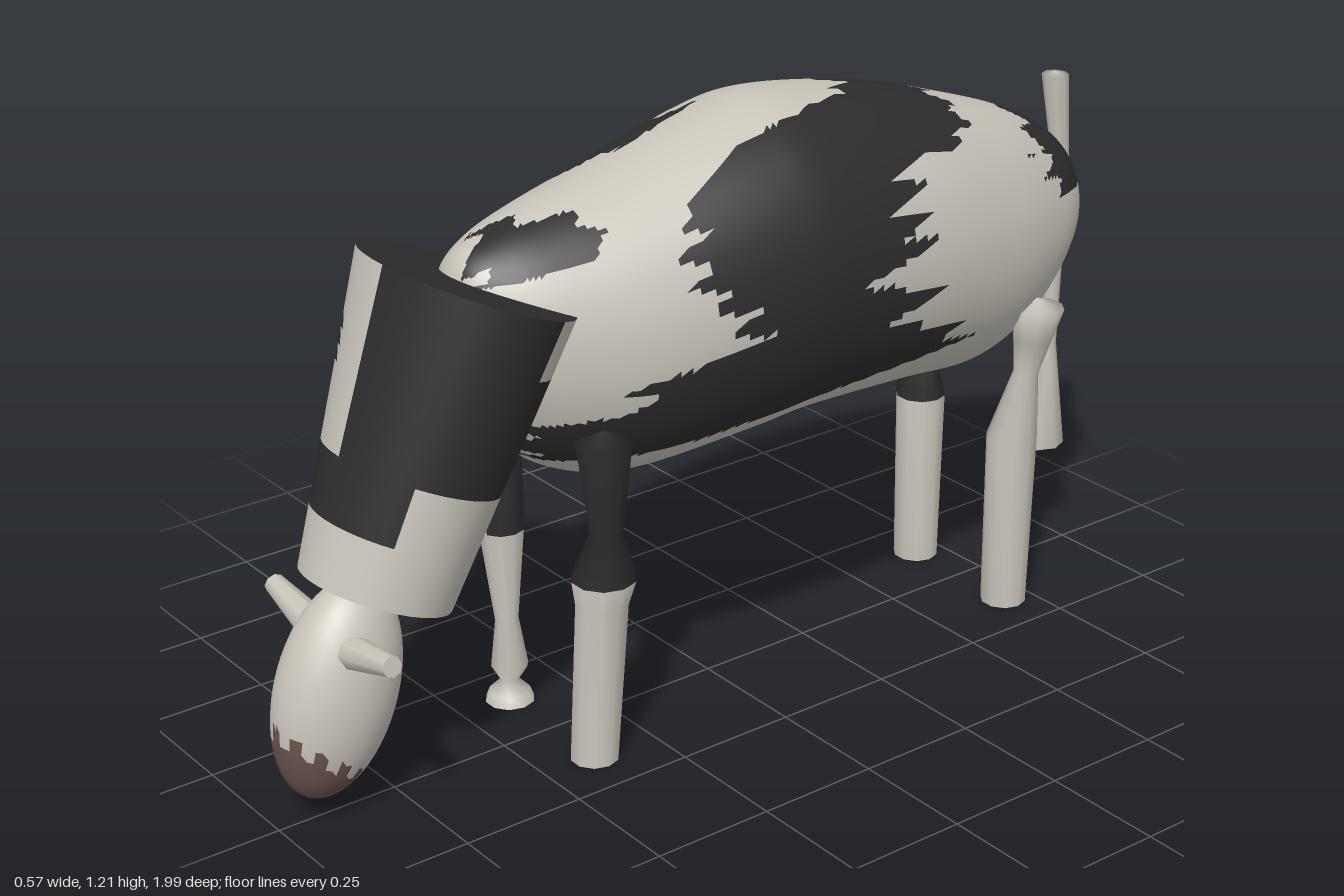
import * as THREE from 'three';

const light = new THREE.MeshStandardMaterial({ color: 0xc8c4ba, name: 'pale hide' });
const dark = new THREE.MeshStandardMaterial({ color: 0x2c2c2c, name: 'dark hide' });
const brown = new THREE.MeshStandardMaterial({ color: 0x6a534e, name: 'muzzle brown' });
const mats = [light, dark, brown];

// Closed tube of rows x cols; paint(centroid, u, angle) picks the material index of each face
function skin(name, rows, cols, point, paint = () => 0) {
  const pts = [], faces = [[], [], []];
  for (let i = 0; i <= rows; i++)
    for (let j = 0; j < cols; j++) pts.push(point(i / rows, (j / cols) * Math.PI * 2));
  const id = (i, j) => i * cols + (j % cols);
  const mid = new THREE.Vector3();
  for (let i = 0; i < rows; i++)
    for (let j = 0; j < cols; j++) {
      const a = id(i, j), b = id(i, j + 1), c = id(i + 1, j), d = id(i + 1, j + 1);
      for (const t of [[a, c, d], [a, d, b]]) {
        mid.set(0, 0, 0);
        t.forEach(k => mid.addScaledVector(pts[k], 1 / 3));
        faces[paint(mid, (i + 0.5) / rows, ((j + 0.5) / cols) * Math.PI * 2)].push(...t);
      }
    }
  const g = new THREE.BufferGeometry().setFromPoints(pts);
  g.setIndex(faces.flat());
  let start = 0;
  faces.forEach((f, k) => { if (f.length) g.addGroup(start, f.length, k); start += f.length; });
  g.computeVertexNormals();
  const m = new THREE.Mesh(g, mats);
  m.name = name;
  return m;
}

// Downward limb through rings [y, x, z, radiusX, radiusZ]
function limb(name, rings, cols, paint, per = 1) {
  const n = rings.length - 1;
  return skin(name, n * per, cols, (u, a) => {
    const k = Math.min(Math.floor(u * n + 1e-6), n - 1), f = u * n - k;
    const [y, x, z, rx, rz] = [0, 1, 2, 3, 4].map(q => {
      const at = r => r[q] ?? r[3];
      return at(rings[k]) * (1 - f) + at(rings[k + 1]) * f;
    });
    return new THREE.Vector3(x + rx * Math.cos(a), y, z - rz * Math.sin(a));
  }, paint);
}

function inside(poly, px, py) {
  let hit = false;
  for (let i = 0, j = poly.length - 1; i < poly.length; j = i++) {
    const [xi, yi] = poly[i], [xj, yj] = poly[j];
    if (yi > py !== yj > py && px < ((xj - xi) * (py - yi)) / (yj - yi) + xi) hit = !hit;
  }
  return hit;
}
const tri = t => Math.abs((((t % 1) + 1) % 1) * 2 - 1) - 0.5;

// Hide patches: left and right flanks as [z, y], back as [x, z]
const leftPatches = [
  [[.2, 1.2], [.2, 1], [.18, .93], [.12, .88], [.1, .83], [.34, .77], [.3, .73], [.52, .71], [.48, .62], [.2, .62],
   [-.2, .65], [-.45, .68], [-.38, .74], [-.25, .78], [-.35, .84], [-.16, .87], [-.32, .93], [-.28, 1], [-.32, 1.07],
   [-.5, 1.09], [-.5, 1.2]],
  [[-.7, 1.08], [-.78, 1.02], [-.72, 1], [-.78, .96], [-.75, .92], [-.88, .87], [-.96, .88], [-.9, 1.05]],
  [[.6, 1.08], [.38, 1.08], [.45, 1.02], [.6, .98]],
];
const rightPatches = [
  [[.38, 1.1], [.35, .95], [.3, .85], [.15, .75], [-.1, .68], [-.5, .66], [-.42, .74], [-.48, .8], [-.3, .88],
   [-.33, .95], [-.2, 1.03], [-.05, 1.2], [.2, 1.2]],
  [[-.5, 1.1], [-.58, 1], [-.52, .9], [-.55, .8], [-.52, .7], [-.6, .61], [-.85, .6], [-1, .85], [-.9, 1.1]],
];
const backPatches = [
  [[-.25, -.66], [-.13, -.52], [-.1, -.58], [-.03, -.68], [.05, -.76], [.18, -.72], [.14, -.9], [0, -.96], [-.17, -.9]],
  [[-.05, -.52], [.1, -.55], [.17, -.5], [.2, -.38], [.3, -.3], [.3, .2], [.18, .2], [.12, .05], [.11, -.13],
   [.05, -.28], [0, -.32], [-.07, -.28]],
  [[-.26, -.02], [-.13, .06], [-.06, 0], [-.03, .15], [-.08, .28], [-.17, .27], [-.26, .15]],
  [[-.04, .5], [.05, .42], [.08, .35], [.2, .36], [.18, .5], [.05, .57]],
];

// Body stations [z, top, bottom, half width]
const stations = [
  [.6, .95, .95, 0], [.57, 1.02, .8, .08], [.5, 1.06, .66, .15], [.4, 1.09, .575, .2], [.25, 1.125, .535, .245],
  [0, 1.19, .545, .28], [-.15, 1.205, .555, .285], [-.4, 1.165, .548, .275], [-.6, 1.105, .535, .24],
  [-.75, 1.05, .585, .19], [-.85, .995, .67, .14], [-.91, .93, .74, .08], [-.94, .84, .84, 0],
];
function makeBody() {
  const spline = f => new THREE.CatmullRomCurve3(stations.map(f), false, 'catmullrom', 0.5);
  const upper = spline(([z, t, b, w]) => new THREE.Vector3(w, t, z));
  const lower = spline(([z, t, b]) => new THREE.Vector3(0, b, z));
  return skin('body', 108, 144, (u, a) => {
    const t = upper.getPoint(u), b = lower.getPoint(u);
    return new THREE.Vector3(t.x * Math.cos(a), (t.y + b.y) / 2 + ((t.y - b.y) / 2) * Math.sin(a), t.z);
  }, (p, u, a) => {
    if (Math.sin(a) > 0.72)
      return backPatches.some(q => inside(q, p.x, p.z + 0.05 * tri(p.x * 16))) ? 1 : 0;
    const z = p.z + 0.09 * tri(p.y * 19 + p.z * 2);
    return (p.x > 0 ? leftPatches : rightPatches).some(q => inside(q, z, p.y)) ? 1 : 0;
  });
}

function disc(name, radius, material, sides) {
  const m = new THREE.Mesh(new THREE.CircleGeometry(radius, sides), material);
  m.name = name;
  return m;
}

// Drooping neck: tapered oval sleeve with a dark collar
function makeNeck() {
  const neck = new THREE.Group();
  neck.name = 'neck';
  neck.position.set(0, .98, .55);
  neck.rotation.x = -.38;
  const top = disc('neckTop', 1, dark, 40);
  top.rotation.x = -Math.PI / 2;
  top.scale.set(.245, .185, 1);
  const bottom = disc('neckBottom', 1, light, 40);
  bottom.rotation.x = Math.PI / 2;
  bottom.scale.set(.152, .144, 1);
  bottom.position.y = -.592;
  neck.add(limb('neckSleeve', [[0, 0, 0, .245, .185], [-.592, 0, 0, .152, .144]], 40, (p, t) => {
    if (t > (p.z > .09 ? .8 : .61)) return 0;
    if (p.z > .02 && p.x < 0 && (p.x > -.115 ? t < .6 : t < .2)) return 0;
    if (p.x > .1 && p.z < -.055 && t < .2) return 0;
    return 1;
  }, 20), top, bottom);
  return neck;
}

function makeHead() {
  const head = new THREE.Group();
  head.name = 'head';
  const skull = skin('skull', 48, 48, (u, a) => {
    const s = Math.sin(u * Math.PI);
    return new THREE.Vector3(.1 * s * Math.cos(a), .217 * Math.cos(u * Math.PI), -.12 * s * Math.sin(a));
  }, (p, u, a) => (p.y < -.13 + .35 * p.z + .05 * tri((a / Math.PI) * 6) ? 2 : 0));
  skull.position.set(0, .253, .862);
  skull.rotation.x = -.305;
  head.add(skull);
  for (const s of [1, -1]) {
    const ear = new THREE.Mesh(new THREE.CylinderGeometry(.02, .034, .15, 8), light);
    ear.name = s > 0 ? 'leftEar' : 'rightEar';
    ear.position.set(s * .133, .37, .865);
    ear.rotation.z = -s * 1.36;
    head.add(ear);
  }
  return head;
}

function makeLeg(name, rings, paint) {
  const leg = new THREE.Group();
  leg.name = name;
  const [, x, z, r] = rings[rings.length - 1];
  const sole = disc('hoofSole', r, dark, 10);
  sole.rotation.x = Math.PI / 2;
  sole.position.set(x, 0, z);
  leg.add(limb('legShaft', rings, 10, paint), sole);
  return leg;
}

export function createModel() {
  const model = new THREE.Group();
  model.name = 'grazingCow';
  model.add(makeBody(), makeNeck(), makeHead());

  // Legs narrow above the knee; the right foreleg narrows at the ankle instead
  const darkTop = p => (p.y > .38 ? 1 : 0);
  const rear = s => [[.7, s * .19, -.7, 0], [.68, s * .19, -.7, .055], [.61, s * .18, -.7, .04], [.53, s * .165, -.7, .026],
    [.38, s * .142, -.69, .053], [0, s * .14, -.687, .048]];
  model.add(
    makeLeg('leftForeleg', [[.7, .18, .38, 0], [.68, .18, .38, .055], [.48, .162, .365, .032], [.38, .145, .36, .064],
      [.33, .142, .363, .053], [0, .14, .385, .048]], darkTop),
    makeLeg('rightForeleg', [[.7, -.17, .39, 0], [.68, -.17, .39, .055], [.38, -.152, .39, .046], [.18, -.148, .387, .024],
      [.08, -.146, .385, .038], [.045, -.147, .385, .018], [.02, -.148, .385, .042], [0, -.148, .385, .05]],
      p => (p.y > .38 && p.x > -.155 ? 1 : 0)),
    makeLeg('leftHindLeg', rear(1), () => 0),
    makeLeg('rightHindLeg', rear(-1), darkTop),
  );

  // Raised tail root and hanging tail with a flared tuft
  model.add(limb('tail', [[1.09, -.005, -.912, 0], [1.085, -.005, -.912, .028], [.87, -.015, -.952, .018],
    [.47, -.03, -.954, .018], [.235, -.035, -.944, .055], [.23, -.035, -.944, 0]], 8));
  return model;
}
